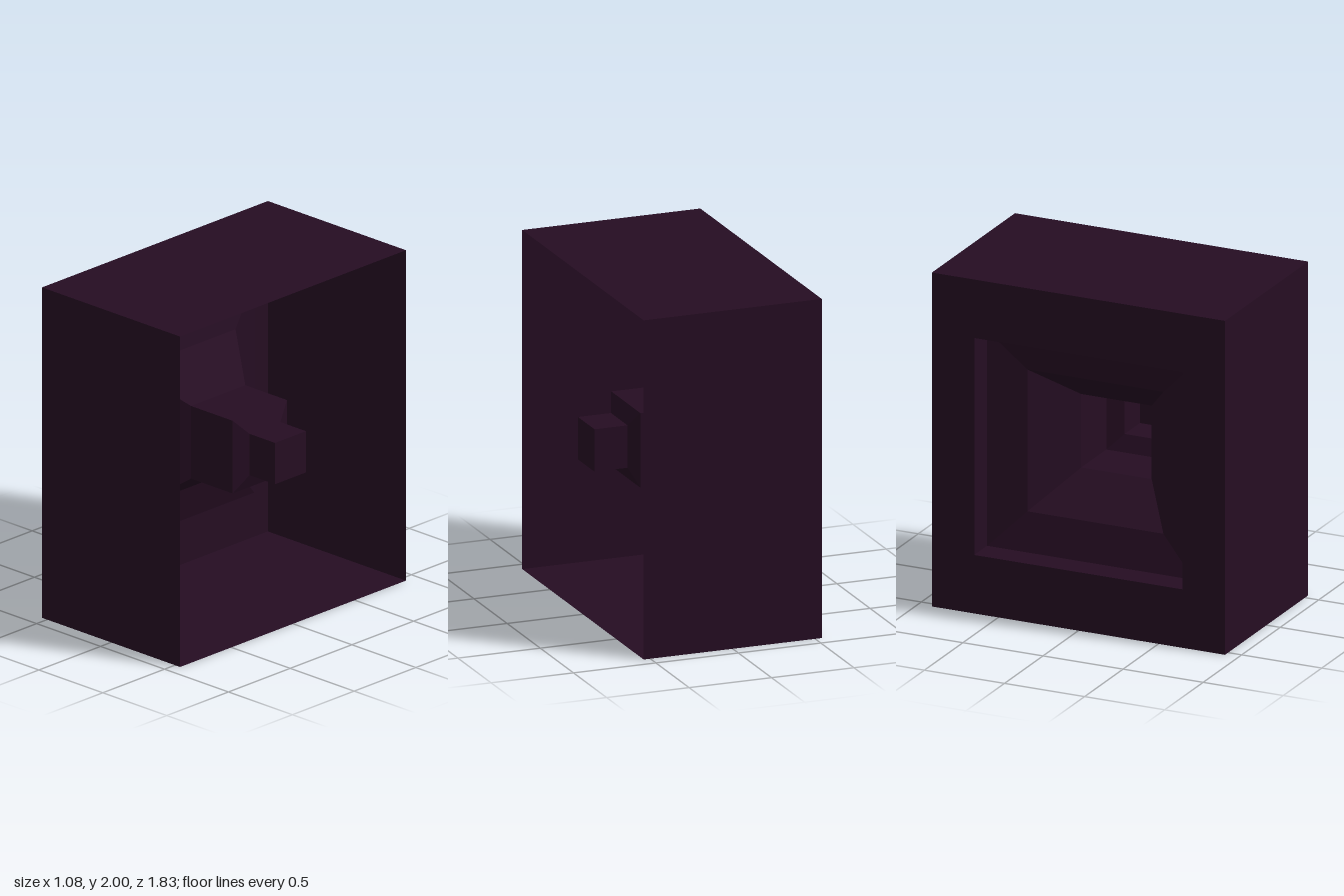
import * as THREE from 'three';

// Open rectangular loft along x; each ring is [x, halfHeight, halfDepth], centred on y = 1
function rectLoft(rings) {
  const signs = [[1, -1], [1, 1], [-1, 1], [-1, -1]];
  const corner = ([x, h, d], k) => {
    const [sy, sz] = signs[k % 4];
    return [x, 1 + sy * h, sz * d];
  };
  const positions = [];
  for (let i = 0; i < rings.length - 1; i++) {
    for (let k = 0; k < 4; k++) {
      const a = corner(rings[i], k), b = corner(rings[i], k + 1);
      const c = corner(rings[i + 1], k + 1), d = corner(rings[i + 1], k);
      positions.push(...a, ...b, ...c, ...a, ...c, ...d);
    }
  }
  const geometry = new THREE.BufferGeometry();
  geometry.setAttribute('position', new THREE.Float32BufferAttribute(positions, 3));
  geometry.computeVertexNormals();
  return geometry;
}

export function createModel() {
  const group = new THREE.Group();
  const darkPlum = new THREE.MeshStandardMaterial({ color: 0x250d22, side: THREE.DoubleSide });
  darkPlum.name = 'darkPlum';

  const add = (name, geometry) => {
    const mesh = new THREE.Mesh(geometry, darkPlum);
    mesh.name = name;
    group.add(mesh);
    return mesh;
  };
  const square = (x, r) => [x, r, r];

  // Thin outer casing, open on the +x side
  add('casing', rectLoft([[-0.54, 1, 0.915], [0.54, 1, 0.915]]));
  // Flat frame around the square opening
  add('openingFrame', rectLoft([square(-0.54, 0.65), [-0.54, 1, 0.915]]));
  // Recess and funnel narrowing inwards
  add('recess', rectLoft([square(-0.54, 0.65), square(-0.385, 0.645)]));
  add('funnel', rectLoft([square(-0.385, 0.645), square(-0.32, 0.425), square(-0.046, 0.22)]));
  // Square neck with a smaller plug at its end
  add('neck', rectLoft([square(-0.046, 0.22), square(0.28, 0.22), square(0.32, 0.125)]));
  add('plug', rectLoft([square(0.32, 0.125), square(0.52, 0.125)]));
  const cap = add('plugCap', new THREE.PlaneGeometry(0.25, 0.25));
  cap.rotation.y = Math.PI / 2;
  cap.position.set(0.52, 1, 0);

  return group;
}
